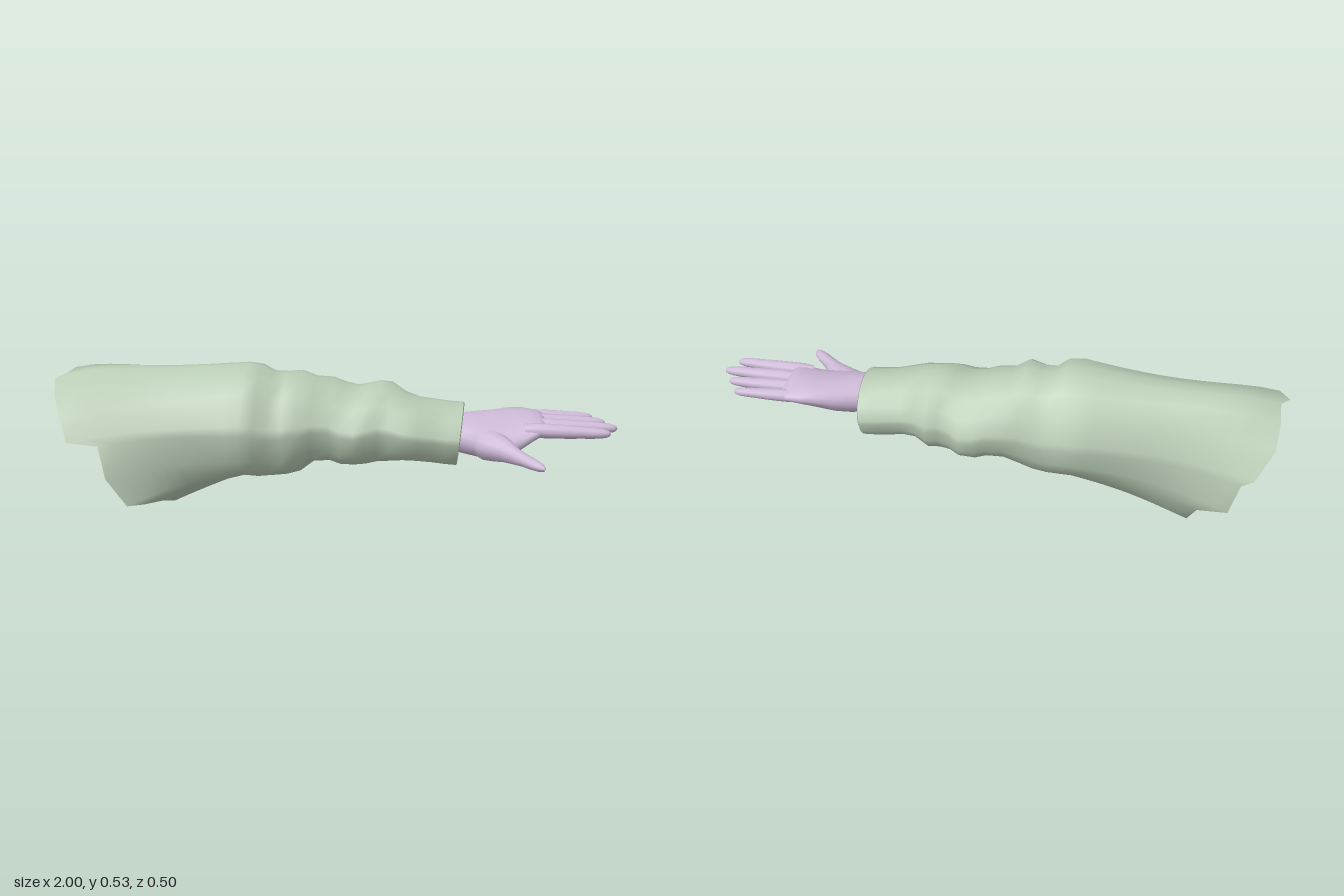
import * as THREE from 'three';

const cloth = new THREE.MeshStandardMaterial({ color: 0xbacdb6, side: THREE.DoubleSide });
cloth.name = 'sage cloth';
const skin = new THREE.MeshStandardMaterial({ color: 0xcebad8 });
skin.name = 'lilac skin';

// Joins closed rings of points into a smooth skin
function skinRings(name, rings, material) {
  const n = rings[0].length;
  const index = [];
  for (let i = 0; i < rings.length - 1; i++) {
    for (let j = 0; j < n; j++) {
      const a = i * n + j, b = i * n + (j + 1) % n;
      index.push(a, b, a + n, b, b + n, a + n);
    }
  }
  const geo = new THREE.BufferGeometry();
  geo.setAttribute('position', new THREE.Float32BufferAttribute(rings.flat(2), 3));
  geo.setIndex(index);
  geo.computeVertexNormals();
  const mesh = new THREE.Mesh(geo, material);
  mesh.name = name;
  return mesh;
}

// Elliptical limb through sections [x, y, z, half width, half height, tilt]
function limb(name, sections, sides = 14) {
  const rings = sections.map(([x, y, z, w, h, tilt = 0], i) => {
    const p = sections[Math.max(i - 1, 0)], q = sections[Math.min(i + 1, sections.length - 1)];
    const t = new THREE.Vector2(q[0] - p[0], q[2] - p[2]).normalize();
    return Array.from({ length: sides }, (_, j) => {
      const a = j / sides * Math.PI * 2;
      const s = w * Math.cos(a);
      return [x - t.y * s, y - h * Math.sin(a) - tilt * s, z + t.x * s];
    });
  });
  return skinRings(name, rings, skin);
}

// Torn hem: [degrees from the top towards the front, x, y, z]
const hem = [
  [0, -1, 0.46, 0.02], [22, -0.97, 0.42, 0.12], [48, -0.93, 0.36, 0.19], [80, -0.9, 0.29, 0.23],
  [90, -0.79, 0.28, 0.225], [118, -0.76, 0.17, 0.253], [138, -0.69, 0.07, 0.248], [150, -0.64, 0.06, 0.2],
  [166, -0.6, 0.035, 0.1], [180, -0.58, 0, 0.015], [197, -0.6, 0.045, -0.08], [212, -0.6, 0.085, -0.135],
  [222, -0.71, 0.02, -0.15], [236, -0.74, 0.11, -0.2], [250, -0.84, 0.16, -0.25], [268, -0.87, 0.275, -0.24],
  [276, -0.91, 0.3, -0.24], [300, -0.965, 0.4, -0.19], [325, -0.97, 0.46, -0.12], [345, -0.97, 0.467, -0.02],
];

// Sleeve folds: [x, top, bottom, back z, front z]
const folds = [
  [-0.3, 0.525, 0.12, -0.235, 0.19], [-0.25, 0.52, 0.115, -0.228, 0.182], [-0.21, 0.495, 0.115, -0.22, 0.155],
  [-0.16, 0.495, 0.122, -0.218, 0.15], [-0.11, 0.502, 0.14, -0.22, 0.16], [-0.06, 0.477, 0.175, -0.228, 0.128],
  [0, 0.472, 0.178, -0.235, 0.12], [0.04, 0.455, 0.165, -0.24, 0.122], [0.09, 0.445, 0.168, -0.24, 0.13],
  [0.13, 0.457, 0.172, -0.215, 0.12], [0.17, 0.466, 0.178, -0.212, 0.103], [0.21, 0.46, 0.18, -0.22, 0.102],
  [0.26, 0.435, 0.195, -0.188, 0.118], [0.31, 0.418, 0.195, -0.18, 0.112], [0.36, 0.41, 0.188, -0.182, 0.095],
  [0.41, 0.403, 0.183, -0.186, 0.092], [0.455, 0.4, 0.18, -0.187, 0.09],
];

// Egg-shaped section, rounder towards the cuff
function foldRing([x, top, bottom, back, front], scale = 1) {
  const slant = Math.max(0, x - 0.3) * 0.06;
  const egg = 0.13 * Math.max(0, 0.45 - x);
  return hem.map(([deg]) => {
    const a = THREE.MathUtils.degToRad(deg);
    const ripple = scale * (1 + 0.006 * Math.sin(3 * a + 14 * x));
    return [
      x + slant * Math.cos(a),
      (top + bottom) / 2 + (top - bottom) / 2 * Math.cos(a) * ripple,
      (front + back) / 2 + (front - back) / 2 * Math.sin(a) * (1 - egg * Math.cos(a)) * ripple,
    ];
  });
}

function makeSleeve() {
  const group = new THREE.Group();
  group.name = 'sleeve';

  // Flared upper part: pinched in the middle, puffed on top near the hem
  const first = foldRing(folds[0]);
  const rings = [];
  for (let k = 10; k > 0; k--) {
    const t = k / 10;
    const pinch = 1 - 0.15 * Math.sin(Math.PI * t);
    const puff = 0.2 * t ** 4 * (1 - t);
    rings.push(hem.map(([deg, x, y, z], j) => {
      const [fx, fy, fz] = first[j];
      const up = Math.max(0, Math.cos(THREE.MathUtils.degToRad(deg)));
      return [fx + (x - fx) * t, fy + (y - fy) * t + puff * up, (fz + (z - fz) * t ** 2.4) * pinch];
    }));
  }
  folds.forEach((f) => rings.push(foldRing(f)));
  group.add(skinRings('sleeveCloth', rings, cloth));

  // Turned-in cuff, closing around the wrist
  const end = folds[folds.length - 1];
  const lining = [[0.455, 1], [0.458, 0.97], [0.45, 0.93], [0.42, 0.88], [0.385, 0.8], [0.35, 0.6], [0.335, 0.3], [0.33, 0]]
    .map(([x, s]) => foldRing([x, ...end.slice(1)], s));
  group.add(skinRings('cuffLining', lining, cloth));
  return group;
}

function makeHand() {
  const group = new THREE.Group();
  group.name = 'hand';

  // Wrist and palm
  group.add(limb('palm', [
    [0.34, 0.305, -0.02, 0.078, 0.055], [0.42, 0.305, -0.02, 0.082, 0.06, 0.05],
    [0.47, 0.303, -0.02, 0.09, 0.066, 0.1], [0.52, 0.3, -0.022, 0.106, 0.068, 0.15],
    [0.58, 0.301, -0.03, 0.116, 0.065, 0.2], [0.64, 0.315, -0.045, 0.116, 0.055, 0.18],
    [0.69, 0.329, -0.056, 0.113, 0.043, 0.1], [0.73, 0.335, -0.059, 0.106, 0.032, 0.03],
    [0.75, 0.335, -0.059, 0.095, 0.02], [0.757, 0.335, -0.059, 0, 0],
  ], 20));

  // Four fingers: [name, base z, tip x, tip z, thickness]
  const fingers = [
    ['indexFinger', 0.02, 0.972, 0.027, 1], ['middleFinger', -0.032, 1, -0.034, 1.03],
    ['ringFinger', -0.084, 0.962, -0.093, 1], ['littleFinger', -0.135, 0.922, -0.15, 0.9],
  ];
  const profile = [
    [0, 0.022], [0.15, 0.026], [0.3, 0.0255], [0.5, 0.0235], [0.68, 0.0205],
    [0.78, 0.0195], [0.9, 0.0165], [0.965, 0.012], [0.99, 0.007], [1, 0],
  ];
  for (const [name, z0, x1, z1, k] of fingers) {
    group.add(limb(name, profile.map(([t, r]) => [
      0.68 + (x1 - 0.68) * t, 0.336, z0 + (z1 - z0) * t, r * k, r * k,
    ]), 10));
  }

  // Thumb with a broad root that blends into the palm
  group.add(limb('thumb', [
    [0.48, 0.288, -0.02, 0, 0], [0.5, 0.287, 0, 0.045, 0.045], [0.56, 0.284, 0.042, 0.062, 0.056],
    [0.595, 0.283, 0.074, 0.052, 0.048], [0.622, 0.283, 0.103, 0.038, 0.039], [0.65, 0.28, 0.138, 0.026, 0.029],
    [0.68, 0.278, 0.168, 0.023, 0.022], [0.705, 0.276, 0.192, 0.022, 0.019], [0.728, 0.274, 0.215, 0.017, 0.015],
    [0.74, 0.273, 0.228, 0.009, 0.009], [0.745, 0.273, 0.235, 0, 0],
  ], 12));
  return group;
}

export function createModel() {
  const model = new THREE.Group();
  model.name = 'sleevedArm';
  model.add(makeSleeve(), makeHand());
  return model;
}
